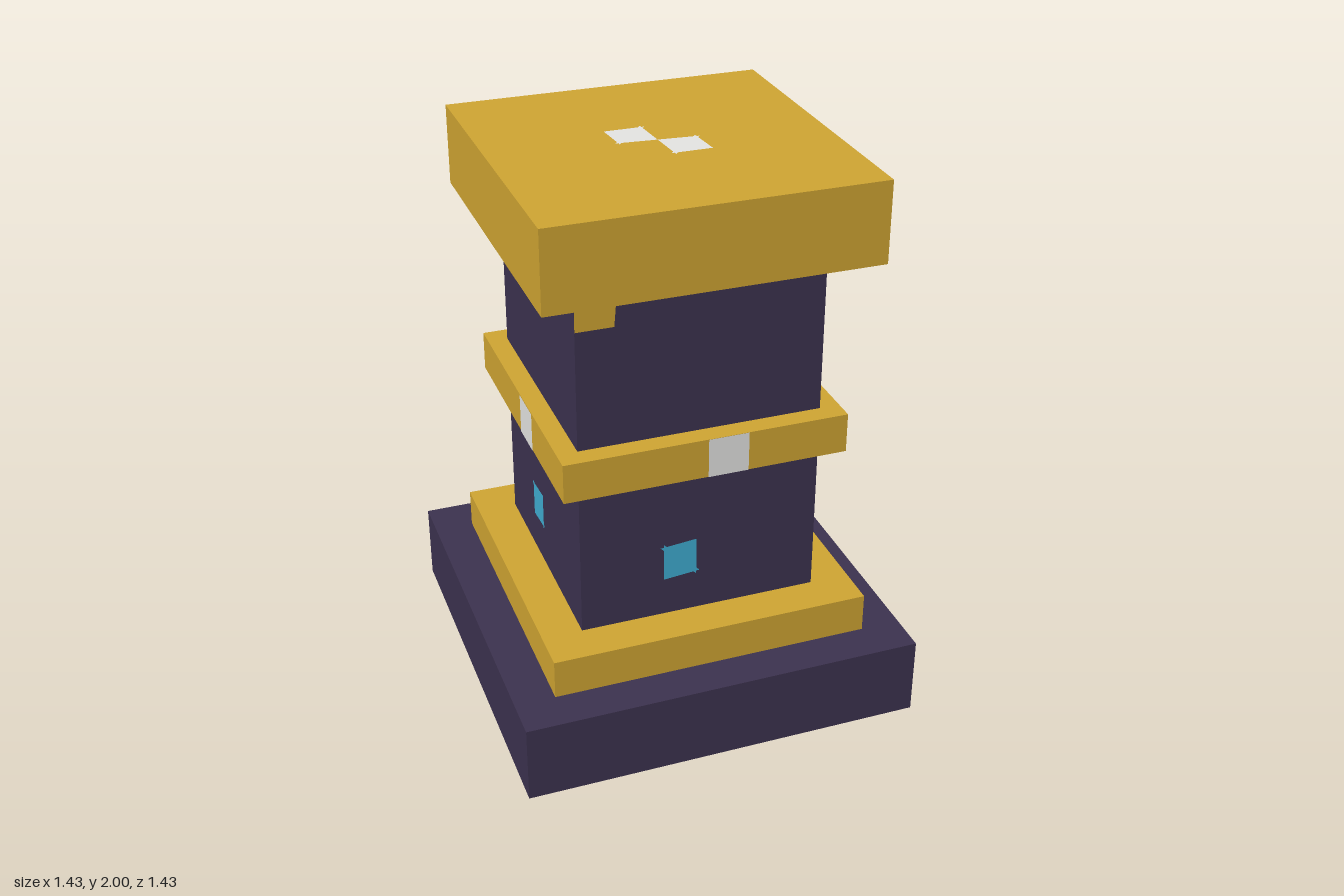
import * as THREE from 'three';

const U = 1 / 7; // one block

const mat = (name, color) => {
  const m = new THREE.MeshStandardMaterial({ color });
  m.name = name;
  return m;
};

export function createModel() {
  const stone = mat('dark purple stone', 0x3d3350);
  const gold = mat('gold', 0xd2a733);
  const pale = mat('pale inlay', 0xebebe9);
  const cyan = mat('cyan gem', 0x40afd4);

  const group = new THREE.Group();

  // Square tier: width, bottom and height in blocks
  function tier(name, width, bottom, height, material) {
    const mesh = new THREE.Mesh(new THREE.BoxGeometry(width * U, height * U, width * U), material);
    mesh.name = name;
    mesh.position.y = (bottom + height / 2) * U;
    group.add(mesh);
  }
  tier('base', 10, 0, 2, stone);
  tier('baseTrim', 8, 2, 1, gold);
  tier('lowerShaft', 6, 3, 4, stone);
  tier('middleBand', 7, 7, 1, gold);
  tier('upperShaft', 6, 8, 4, stone);
  tier('capital', 8, 12, 2, gold);

  // One-block inlay; cuts = clipped corners: bottom left, bottom right, top right, top left
  function inlay(name, material, cuts) {
    const h = U / 2, c = 0.012, points = [];
    [[-1, -1], [1, -1], [1, 1], [-1, 1]].forEach(([sx, sy], i) => {
      if (!cuts[i]) return points.push(new THREE.Vector2(sx * h, sy * h));
      const a = new THREE.Vector2(sx * (h - c), sy * h);
      const b = new THREE.Vector2(sx * h, sy * (h - c));
      points.push(...(sx * sy > 0 ? [a, b] : [b, a]));
    });
    const mesh = new THREE.Mesh(new THREE.ShapeGeometry(new THREE.Shape(points)), material);
    mesh.name = name;
    return mesh;
  }
  const lift = 0.002;

  // The same inlays on all four sides
  for (let i = 0; i < 4; i++) {
    const side = new THREE.Group();
    side.name = 'sideInlays' + (i + 1);
    side.rotation.y = i * Math.PI / 2;
    const add = (mesh, x, y, z) => {
      mesh.position.set(x * U, y * U, z * U + lift);
      side.add(mesh);
    };
    add(inlay('gem', cyan, [1, 1, 1, 1]), -0.5, 4.5, 3);
    add(inlay('bandInlay', pale, [0, 0, 0, 0]), 0.5, 7.5, 3.5);
    add(inlay('cornerBracket', gold, [0, 1, 0, 0]), -2.5, 11.5, 3);
    group.add(side);
  }

  // Two pale squares on top, touching at the centre
  for (const s of [-1, 1]) {
    const mesh = inlay('topInlay', pale, s < 0 ? [1, 0, 1, 1] : [1, 1, 1, 0]);
    mesh.rotation.x = -Math.PI / 2;
    mesh.position.set(s * U / 2, 14 * U + lift, s * U / 2);
    group.add(mesh);
  }

  // Inlays under the base
  for (const [name, material, x, z] of [['undersideGold', gold, 2.5, -3.5], ['undersideGem', cyan, 0.5, 3.5]]) {
    const mesh = inlay(name, material, [1, 1, 1, 1]);
    mesh.rotation.x = Math.PI / 2;
    mesh.position.set(x * U, -lift, z * U);
    group.add(mesh);
  }
  return group;
}
